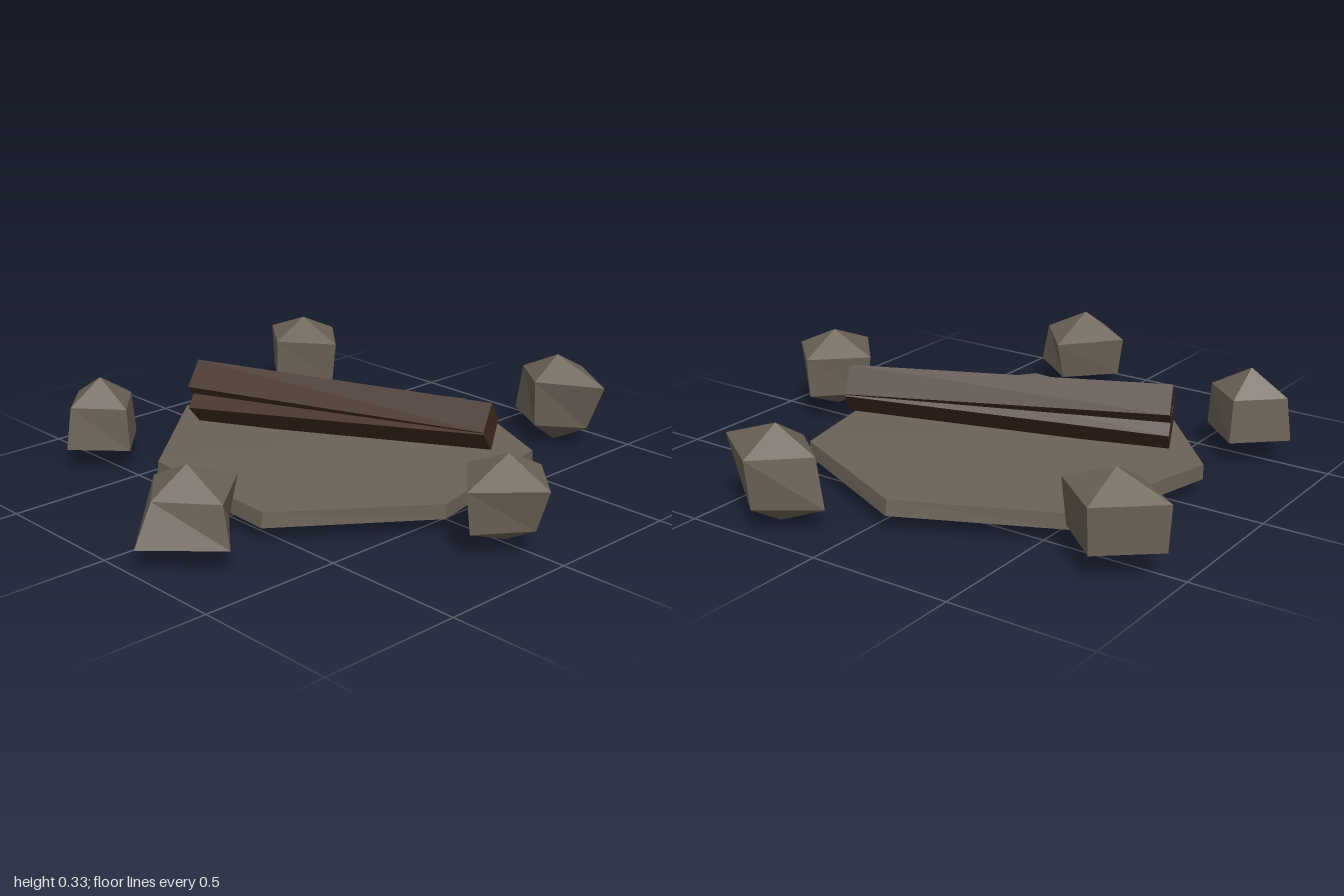
import * as THREE from 'three';

const mat = (name, color) => {
  const m = new THREE.MeshStandardMaterial({ color, flatShading: true });
  m.name = name;
  return m;
};

// Faceted solid: a top point, an upper ring, a lower ring and a bottom point.
// Rings run from +x through +z to -x and -z.
function facetedSolid(top, upper, lower, bottom) {
  const pos = [];
  const tri = (...corners) => corners.forEach((c) => pos.push(...c));
  const n = upper.length;
  for (let i = 0; i < n; i++) {
    const j = (i + 1) % n;
    tri(top, upper[j], upper[i]);
    tri(upper[i], upper[j], lower[i]);
    tri(upper[j], lower[j], lower[i]);
    tri(bottom, lower[i], lower[j]);
  }
  const g = new THREE.BufferGeometry();
  g.setAttribute('position', new THREE.Float32BufferAttribute(pos, 3));
  g.computeVertexNormals();
  return g;
}

// Four-sided ring around (cx, cz); reach = [+x, +z, -x, -z] coordinates
const diamond = (cx, cz, y, [px, pz, nx, nz]) =>
  [[px, y, cz], [cx, y, pz], [nx, y, cz], [cx, y, nz]];

export function createModel() {
  const group = new THREE.Group();
  const stoneMat = mat('stone grey', 0x6b6257);
  const woodMat = mat('charred wood', 0x402c20);
  const add = (name, geometry, material) => {
    const mesh = new THREE.Mesh(geometry, material);
    mesh.name = name;
    group.add(mesh);
    return mesh;
  };

  // Seven-sided hearth slab, slightly domed above and below
  const rim = [[0.59, 0.09], [0.24, 0.56], [-0.34, 0.53], [-0.73, 0.1],
    [-0.59, -0.48], [-0.06, -0.72], [0.47, -0.48]];
  add('hearthSlab', facetedSolid(
    [-0.05, 0.12, 0],
    rim.map(([x, z]) => [x, 0.105, z]),
    rim.map(([x, z]) => [x, 0.053, z * 1.012]),
    [-0.05, 0.03, 0],
  ), stoneMat);

  // Ring of loose stones around the slab
  const stones = [
    { c: [0.79, 0.03], y: [0.32, 0.24, 0.095, 0.03],
      up: [0.96, 0.22, 0.62, -0.13], low: [0.91, 0.2, 0.64, -0.12] },
    { c: [0.16, 0.79], y: [0.31, 0.225, 0.085, 0.05],
      up: [0.33, 0.93, -0.01, 0.59], low: [0.36, 1.0, 0.01, 0.63] },
    { c: [-0.69, 0.51], y: [0.32, 0.235, 0.085, 0.05],
      up: [-0.54, 0.64, -0.83, 0.38], low: [-0.53, 0.665, -0.85, 0.365] },
    { c: [-0.77, -0.53], y: [0.32, 0.245, 0.09, 0.05],
      up: [-0.58, -0.39, -0.96, -0.69], low: [-0.6, -0.39, -0.95, -0.68] },
    { c: [0.27, -0.85], y: [0.33, 0.25, 0.08, 0.0],
      up: [0.49, -0.725, 0.11, -1.0], low: [0.42, -0.735, 0.08, -0.98] },
  ];
  stones.forEach(({ c: [x, z], y, up, low }, i) => {
    add(`stone${i + 1}`, facetedSolid(
      [x, y[0], z],
      diamond(x, z, y[1], up),
      diamond(x, z, y[2], low),
      [x, y[3], z],
    ), stoneMat);
  });

  // Two square logs, edge up, leaning together at one end
  const addLog = (name, from, to, radius) => {
    const a = new THREE.Vector3(...from);
    const b = new THREE.Vector3(...to);
    const g = new THREE.CylinderGeometry(radius, radius, a.distanceTo(b), 4);
    g.rotateX(Math.PI / 2);
    const log = add(name, g, woodMat);
    log.position.copy(a).add(b).multiplyScalar(0.5);
    log.lookAt(b);
  };
  addLog('upperLog', [-0.575, 0.255, 0.16], [0.455, 0.245, -0.272], 0.08);
  addLog('lowerLog', [-0.57, 0.178, 0.165], [0.455, 0.238, -0.272], 0.08);

  return group;
}
